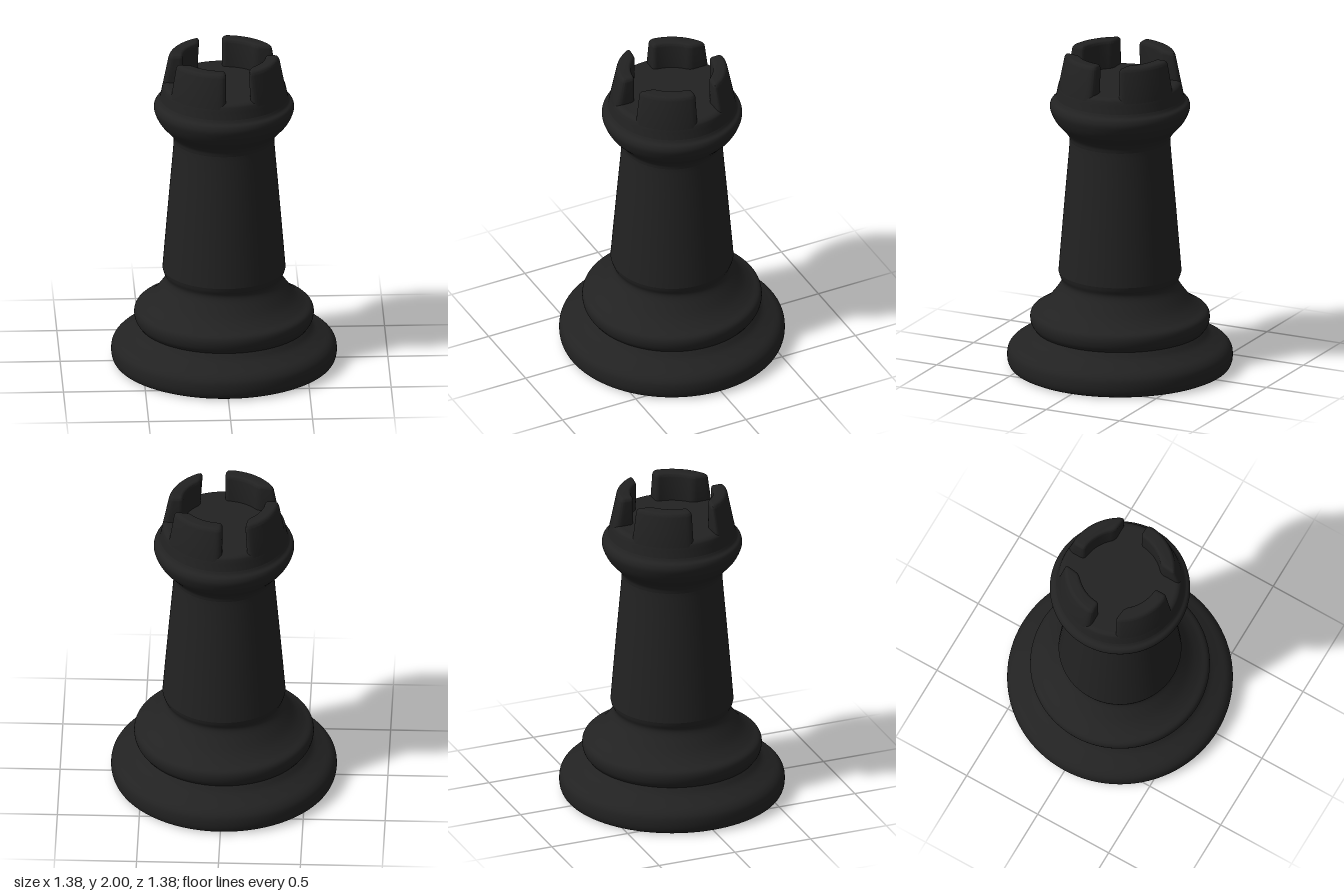
import * as THREE from 'three';
import { toCreasedNormals } from 'three/addons/utils/BufferGeometryUtils.js';

const SIDES = 96;

// Smooth centripetal profile through [radius, height] points
function smoothProfile(points, divisions) {
  const curve = new THREE.CatmullRomCurve3(points.map(([r, y]) => new THREE.Vector3(r, y, 0)));
  return curve.getPoints(divisions).map((p) => new THREE.Vector2(p.x, p.y));
}

// One battlement block: ring section bounded by two straight slot walls
function merlonGeometry() {
  const outer = 0.371, inner = 0.25, slot = 0.15, c = 0.045;
  const outerEnd = Math.acos(slot / outer), innerEnd = Math.acos(slot / inner);
  const zOuter = outer * Math.sin(outerEnd), zInner = inner * Math.sin(innerEnd);

  const s = new THREE.Shape();
  s.moveTo(outer - c, 0);
  s.quadraticCurveTo(outer, 0, outer * Math.cos(c / outer), outer * Math.sin(c / outer));
  s.absarc(0, 0, outer, c / outer, outerEnd - c / outer, false);
  s.quadraticCurveTo(slot, zOuter, slot, zOuter - c);
  s.lineTo(slot, zInner + 0.03);
  s.quadraticCurveTo(slot, zInner, inner * Math.cos(innerEnd - 0.12), inner * Math.sin(innerEnd - 0.12));
  s.absarc(0, 0, inner, innerEnd - 0.12, 0.12, true);
  s.quadraticCurveTo(inner, 0, inner + 0.03, 0);
  s.closePath();

  const bevel = 0.025;
  const geo = new THREE.ExtrudeGeometry(s, {
    depth: 0.2, steps: 1, curveSegments: 16,
    bevelEnabled: true, bevelThickness: bevel, bevelSize: bevel, bevelOffset: -bevel, bevelSegments: 5,
  });
  geo.rotateX(Math.PI / 2);
  geo.translate(0, 2 - bevel, 0);

  // Lean the outer wall inwards towards the top
  const p = geo.attributes.position;
  for (let i = 0; i < p.count; i++) {
    const x = p.getX(i), y = p.getY(i), z = p.getZ(i);
    const r = Math.hypot(x, z);
    const k = 1 - (Math.max(0, (r - inner) / (outer - inner)) * 0.2 * (y - 1.82)) / r;
    p.setXYZ(i, x * k, y, z * k);
  }
  geo.deleteAttribute('uv');
  return toCreasedNormals(geo, 0.6);
}

export function createModel() {
  const model = new THREE.Group();
  model.name = 'rook';
  const black = new THREE.MeshStandardMaterial({ color: 0x222222 });
  black.name = 'black';

  const add = (name, geometry) => {
    const mesh = new THREE.Mesh(geometry, black);
    mesh.name = name;
    model.add(mesh);
    return mesh;
  };
  const turned = (name, points, divisions) =>
    add(name, new THREE.LatheGeometry(smoothProfile(points, divisions), SIDES));

  // Flat underside
  add('underside', new THREE.CircleGeometry(0.65, SIDES).rotateX(Math.PI / 2));

  // Wide foot
  turned('base', [
    [0.65, 0], [0.672, 0.012], [0.685, 0.04], [0.688, 0.085], [0.68, 0.12],
    [0.655, 0.15], [0.6, 0.18], [0.55, 0.21], [0.52, 0.245],
  ], 40);

  // Rounded ring sweeping up to the shaft
  turned('lowerRing', [
    [0.52, 0.245], [0.54, 0.275], [0.548, 0.32], [0.537, 0.352], [0.49, 0.38],
    [0.44, 0.42], [0.395, 0.475], [0.36, 0.53], [0.356, 0.555], [0.368, 0.585], [0.375, 0.61],
  ], 48);

  // Tapered shaft
  turned('shaft', [[0.375, 0.61], [0.372, 0.65], [0.34, 1.04], [0.308, 1.42], [0.307, 1.45]], 24);

  // Flared collar
  turned('collar', [
    [0.307, 1.45], [0.315, 1.48], [0.355, 1.53], [0.39, 1.57], [0.415, 1.615],
    [0.428, 1.66], [0.42, 1.69], [0.4, 1.707], [0.39, 1.725],
  ], 40);

  // Parapet wall rounding over to the floor
  turned('parapet', [
    [0.39, 1.725], [0.384, 1.755], [0.377, 1.79], [0.37, 1.808], [0.352, 1.82], [0.32, 1.821],
  ], 24);
  const floor = add('towerFloor', new THREE.CircleGeometry(0.321, SIDES).rotateX(-Math.PI / 2));
  floor.position.y = 1.821;

  // Four battlements
  const merlon = merlonGeometry();
  for (let i = 0; i < 4; i++) {
    add('battlement' + (i + 1), merlon).rotation.y = (i * Math.PI) / 2;
  }
  return model;
}
